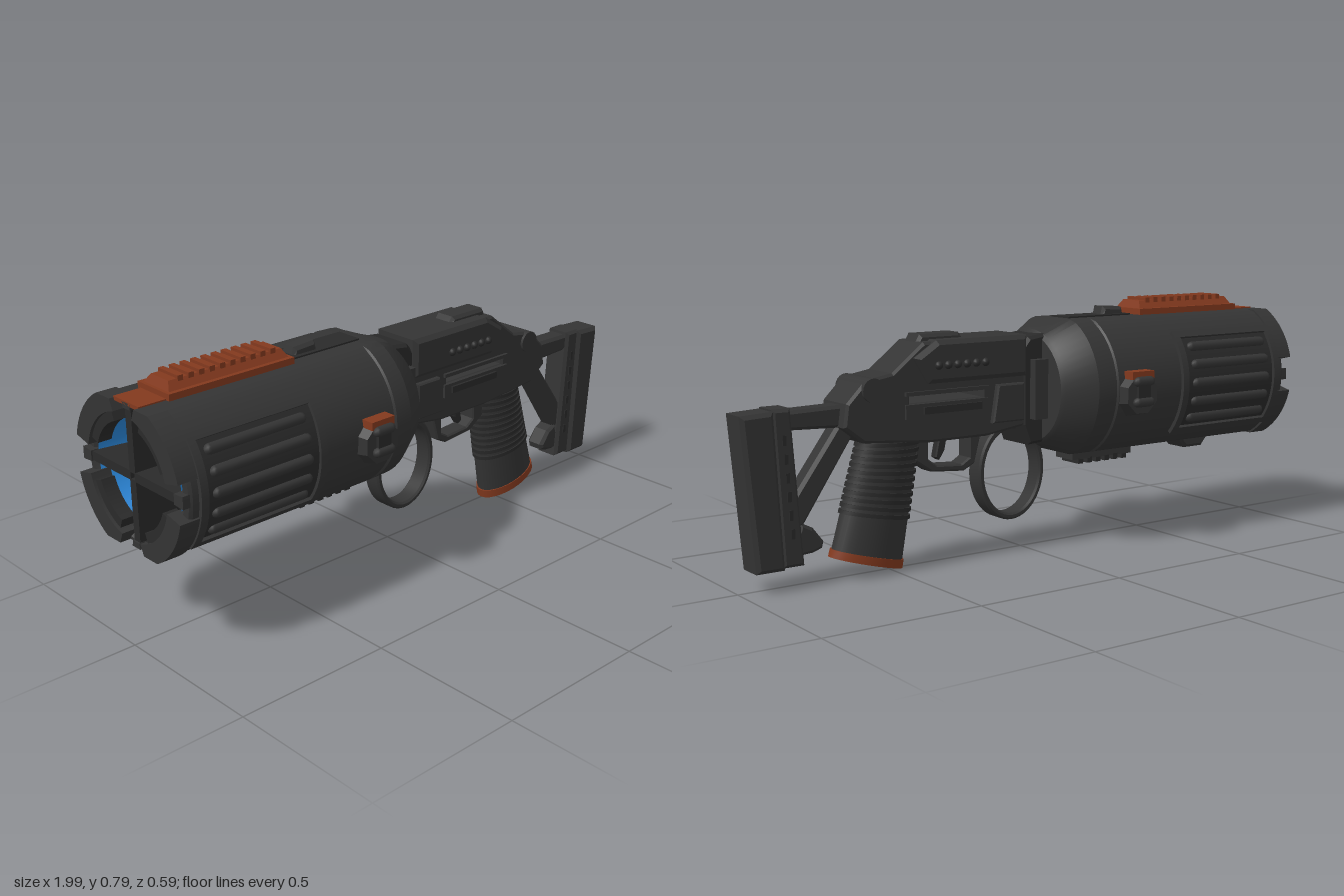
import * as THREE from 'three';
import { toCreasedNormals } from 'three/addons/utils/BufferGeometryUtils.js';

const mat = (name, color, side = THREE.FrontSide) => {
  const m = new THREE.MeshStandardMaterial({ color, side });
  m.name = name;
  return m;
};

export function createModel() {
  const gun = mat('gunmetal', 0x343434);
  const dark = mat('dark steel', 0x2a2a2a);
  const copper = mat('copper', 0x83391e);
  const blue = mat('glow blue', 0x2a86d8, THREE.DoubleSide);

  const model = new THREE.Group();
  model.name = 'blaster';
  const barrel = new THREE.Group();
  barrel.name = 'barrel';
  barrel.position.y = 0.53;
  model.add(barrel);

  const add = (parent, name, geo, material, x = 0, y = 0, z = 0) => {
    const m = new THREE.Mesh(geo, material);
    m.name = name;
    m.position.set(x, y, z);
    parent.add(m);
    return m;
  };
  const box = (parent, name, material, x0, x1, y0, y1, half, z = 0) =>
    add(parent, name, new THREE.BoxGeometry(x1 - x0, y1 - y0, half * 2), material, (x0 + x1) / 2, (y0 + y1) / 2, z);

  // Side outline extruded symmetrically across z with chamfered edges
  const outline = (pts) => new THREE.Shape(pts.map(([x, y]) => new THREE.Vector2(x, y)));
  const plate = (shape, half, bevel = 0.01) => {
    const g = new THREE.ExtrudeGeometry(shape, {
      depth: 2 * (half - bevel), bevelEnabled: bevel > 0, bevelSize: bevel, bevelThickness: bevel,
      bevelOffset: -bevel, bevelSegments: 1, curveSegments: 24,
    });
    return g.translate(0, 0, bevel - half);
  };
  // Flatten the top and bottom of the round barrel
  const flatten = (geo, limit = 0.218) => {
    const p = geo.attributes.position;
    for (let i = 0; i < p.count; i++) p.setY(i, THREE.MathUtils.clamp(p.getY(i), -limit, limit));
    return geo;
  };
  // Profile of [x, radius] turned around the x axis
  const turned = (pts) => {
    const g = new THREE.LatheGeometry(pts.map(([x, r]) => new THREE.Vector2(r, x)), 48);
    return toCreasedNormals(flatten(g.rotateZ(-Math.PI / 2)), 0.5);
  };
  // Curved block wrapped around the barrel axis
  const arcBlock = (x0, x1, r0, r1, mid, span) => {
    const s = new THREE.Shape();
    s.absarc(0, 0, r1, mid - span / 2, mid + span / 2, false);
    s.absarc(0, 0, r0, mid + span / 2, mid - span / 2, true);
    const g = new THREE.ExtrudeGeometry(s, { depth: x1 - x0, bevelEnabled: false, curveSegments: 14 });
    return toCreasedNormals(flatten(g.rotateY(Math.PI / 2).translate(x0, 0, 0)), 0.5);
  };

  // Barrel shell, open at the muzzle
  add(barrel, 'barrelShell', turned([
    [-0.7, 0.19], [-0.94, 0.205], [-0.95, 0.215], [-0.95, 0.238], [-0.94, 0.244], [-0.21, 0.244],
    [-0.205, 0.238], [-0.195, 0.238], [-0.19, 0.244], [-0.13, 0.242], [-0.04, 0.188], [-0.03, 0.175], [-0.03, 0],
  ]), gun);
  // Muzzle claws, glowing bowl and spokes
  add(barrel, 'glowBowl', turned([[-0.66, 0], [-0.68, 0.12], [-0.8, 0.175], [-0.945, 0.2]]), blue);
  for (let i = 0; i < 4; i++) {
    const a = Math.PI / 4 + i * Math.PI / 2;
    add(barrel, 'muzzleClaw', arcBlock(-0.985, -0.92, 0.19, 0.25, a, 1.1), gun);
    add(barrel, 'muzzleLip', arcBlock(-0.975, -0.93, 0.16, 0.192, a, 0.85), dark);
    const spoke = add(barrel, 'muzzleSpoke', new THREE.BoxGeometry(0.19, 0.2, 0.028).translate(-0.87, 0.11, 0), dark);
    spoke.rotation.x = i * Math.PI / 2;
    add(barrel, 'muzzleTooth', arcBlock(-0.97, -0.93, 0.2, 0.24, i * Math.PI / 2, 0.16), gun);
  }
  add(barrel, 'muzzleHub', new THREE.ConeGeometry(0.045, 0.24, 12).rotateZ(Math.PI / 2), dark, -0.83);

  // Slatted vents and octagonal buttons on both sides
  for (const s of [1, -1]) {
    const mid = s > 0 ? Math.PI : 0;
    for (const x of [-0.92, -0.5]) add(barrel, 'ventEnd', arcBlock(x, x + 0.025, 0.235, 0.256, mid, 1.36), gun);
    for (const e of [-1, 1]) add(barrel, 'ventEdge', arcBlock(-0.92, -0.475, 0.235, 0.256, mid + e * 0.68, 0.1), gun);
    add(barrel, 'ventBed', arcBlock(-0.9, -0.49, 0.235, 0.246, mid, 1.3), dark);
    for (let i = 0; i < 5; i++) {
      const a = (i - 2) * 0.25;
      add(barrel, 'ventSlat', new THREE.CapsuleGeometry(0.017, 0.32, 3, 8).rotateZ(Math.PI / 2), gun,
        -0.7, Math.sin(a) * 0.244, s * Math.cos(a) * 0.244);
    }
    add(barrel, 'buttonBase', toCreasedNormals(new THREE.CylinderGeometry(0.065, 0.078, 0.05, 8)
      .rotateY(Math.PI / 8).rotateX(s * Math.PI / 2), 0.4), gun, -0.28, -0.015, s * 0.25);
    box(barrel, 'buttonCap', copper, -0.325, -0.235, 0.035, 0.06, 0.022, s * 0.257);
    box(barrel, 'buttonBridge', dark, -0.305, -0.255, -0.045, 0.025, 0.012, s * 0.274);
    for (const y of [0.028, -0.038])
      add(barrel, 'buttonLug', new THREE.CapsuleGeometry(0.016, 0.05, 3, 8).rotateZ(Math.PI / 2), gun, -0.28, y, s * 0.281);
  }

  // Copper top rail with cross ribs
  const rail = new THREE.Group();
  rail.name = 'topRail';
  model.add(rail);
  box(rail, 'railBase', copper, -0.88, -0.44, 0.745, 0.768, 0.074);
  const ridge = new THREE.BoxGeometry(0.42, 0.026, 0.12);
  const rp = ridge.attributes.position;
  for (let i = 0; i < rp.count; i++) if (rp.getY(i) > 0) rp.setXYZ(i, rp.getX(i) * 0.94, rp.getY(i), rp.getZ(i) * 0.68);
  ridge.computeVertexNormals();
  add(rail, 'railRidge', ridge, copper, -0.66, 0.78);
  for (let i = 0; i < 10; i++) {
    const x = -0.82 + i * 0.036;
    box(rail, 'railRib', copper, x - 0.009, x + 0.009, 0.768, 0.802, 0.046);
  }
  box(rail, 'railTongue', copper, -0.97, -0.88, 0.74, 0.752, 0.06);

  // Small sight block on top and rails underneath
  add(model, 'sightNub', plate(outline([[-0.41, 0.74], [-0.4, 0.775], [-0.32, 0.78], [-0.31, 0.74]]), 0.03), gun);
  box(model, 'topStrip', dark, -0.42, -0.16, 0.742, 0.753, 0.045);
  add(model, 'frontFoot', plate(outline([[-0.8, 0.32], [-0.76, 0.272], [-0.68, 0.272], [-0.64, 0.32]]), 0.05), gun);
  box(model, 'lowerRail', gun, -0.43, -0.18, 0.28, 0.32, 0.045);
  for (let i = 0; i < 6; i++) box(model, 'lowerRailTooth', dark, -0.41 + i * 0.037, -0.39 + i * 0.037, 0.265, 0.285, 0.045);

  // Neck between barrel and receiver
  add(model, 'neck', plate(outline([[-0.06, 0.36], [-0.06, 0.71], [0.02, 0.7], [0.045, 0.67], [0.045, 0.42], [0.02, 0.355]]), 0.075), dark);
  for (const s of [1, -1]) box(model, 'neckStrut', gun, -0.04, 0.02, 0.44, 0.63, 0.014, s * 0.094);

  // Receiver with an open bolt slot
  const body = outline([[0.035, 0.42], [0.18, 0.4], [0.39, 0.4], [0.62, 0.42], [0.685, 0.47], [0.675, 0.54],
    [0.61, 0.605], [0.52, 0.62], [0.41, 0.705], [0.035, 0.71]]);
  body.holes.push(outline([[0.2, 0.525], [0.46, 0.525], [0.46, 0.545], [0.2, 0.545]]));
  add(model, 'receiver', plate(body, 0.074, 0.008), gun);
  add(model, 'receiverTop', plate(outline([[0.035, 0.58], [0.035, 0.71], [0.37, 0.71], [0.45, 0.66], [0.4, 0.58]]), 0.092, 0.014), gun);
  add(model, 'rearSight', plate(outline([[0.24, 0.7], [0.26, 0.726], [0.4, 0.726], [0.42, 0.69]]), 0.04), gun);
  for (const s of [1, -1]) {
    for (let i = 0; i < 6; i++)
      add(model, 'sideStud', new THREE.SphereGeometry(0.013, 10, 8), dark, 0.2 + i * 0.034, 0.635, s * 0.092);
    box(model, 'slotLip', gun, 0.18, 0.48, 0.548, 0.56, 0.008, s * 0.076);
    box(model, 'slotSill', gun, 0.18, 0.48, 0.478, 0.522, 0.008, s * 0.074);
    box(model, 'boltBar', dark, 0.21, 0.42, 0.49, 0.512, 0.01, s * 0.08);
    add(model, 'sidePlate', plate(outline([[0.05, 0.44], [0.05, 0.56], [0.15, 0.56], [0.17, 0.44]]), 0.012, 0.005), gun, 0, 0, s * 0.08);
  }
  add(model, 'pivotPin', new THREE.CylinderGeometry(0.036, 0.036, 0.166, 20).rotateX(Math.PI / 2), gun, 0.59, 0.575);

  // Loading lever ring, trigger guard and trigger
  const ring = new THREE.Shape();
  ring.absellipse(0.055, 0.27, 0.128, 0.16, 0, Math.PI * 2, false);
  const ringHole = new THREE.Path();
  ringHole.absellipse(0.055, 0.268, 0.107, 0.137, 0, Math.PI * 2, true);
  ring.holes.push(ringHole);
  add(model, 'leverRing', toCreasedNormals(plate(ring, 0.032, 0.006), 0.5), gun);
  const guard = outline([[0.17, 0.42], [0.2, 0.31], [0.24, 0.29], [0.36, 0.3], [0.42, 0.34], [0.42, 0.42]]);
  guard.holes.push(outline([[0.22, 0.405], [0.37, 0.405], [0.37, 0.34], [0.34, 0.318], [0.25, 0.312], [0.22, 0.33]]));
  add(model, 'triggerGuard', plate(guard, 0.032, 0.005), gun);
  add(model, 'trigger', plate(outline([[0.29, 0.41], [0.3, 0.36], [0.32, 0.33], [0.335, 0.34], [0.32, 0.41]]), 0.015, 0.004), dark);

  // Pistol grip: oval sections swept along a slanted line
  const gripPart = (name, t0, t1, k, material) => {
    const g = new THREE.CylinderGeometry(1, 1, 1, 28);
    const p = g.attributes.position;
    for (let i = 0; i < p.count; i++) {
      const t = p.getY(i) > 0 ? t1 : t0;
      const u = p.getX(i) * k;
      p.setXYZ(i, 0.58 - 0.088 * t + u * (0.118 - 0.018 * t), 0.043 + 0.39 * t + u * 0.032 * (1 - t), p.getZ(i) * 0.068 * k);
    }
    return add(model, name, toCreasedNormals(g, 0.7), material);
  };
  gripPart('grip', 0.05, 1.05, 1, gun);
  gripPart('gripCap', 0, 0.065, 1.04, copper);
  for (let i = 0; i < 11; i++) gripPart('gripRib', 0.36 + i * 0.055, 0.39 + i * 0.055, 1.06, dark);

  // Skeleton stock
  add(model, 'stockBar', plate(outline([[0.62, 0.465], [0.64, 0.535], [0.87, 0.53], [0.87, 0.475]]), 0.036), gun);
  add(model, 'stockStrut', plate(outline([[0.61, 0.47], [0.68, 0.48], [0.85, 0.25], [0.83, 0.18], [0.8, 0.19]]), 0.032), gun);
  add(model, 'stockToe', plate(outline([[0.74, 0.115], [0.735, 0.135], [0.77, 0.18], [0.81, 0.2], [0.84, 0.1], [0.77, 0.105]]), 0.034), gun);
  add(model, 'butt', plate(outline([[0.805, 0.075], [0.84, 0.54], [0.9, 0.54], [0.875, 0.075]]), 0.046), gun);
  add(model, 'buttPad', plate(outline([[0.87, 0.07], [0.895, 0.535], [1.0, 0.53], [0.96, 0.07]]), 0.053, 0.012), gun);
  for (const s of [1, -1]) for (let i = 0; i < 6; i++)
    box(model, 'buttNotch', dark, 0.838 + i * 0.004, 0.85 + i * 0.004, 0.16 + i * 0.055, 0.19 + i * 0.055, 0.004, s * 0.045);

  return model;
}
